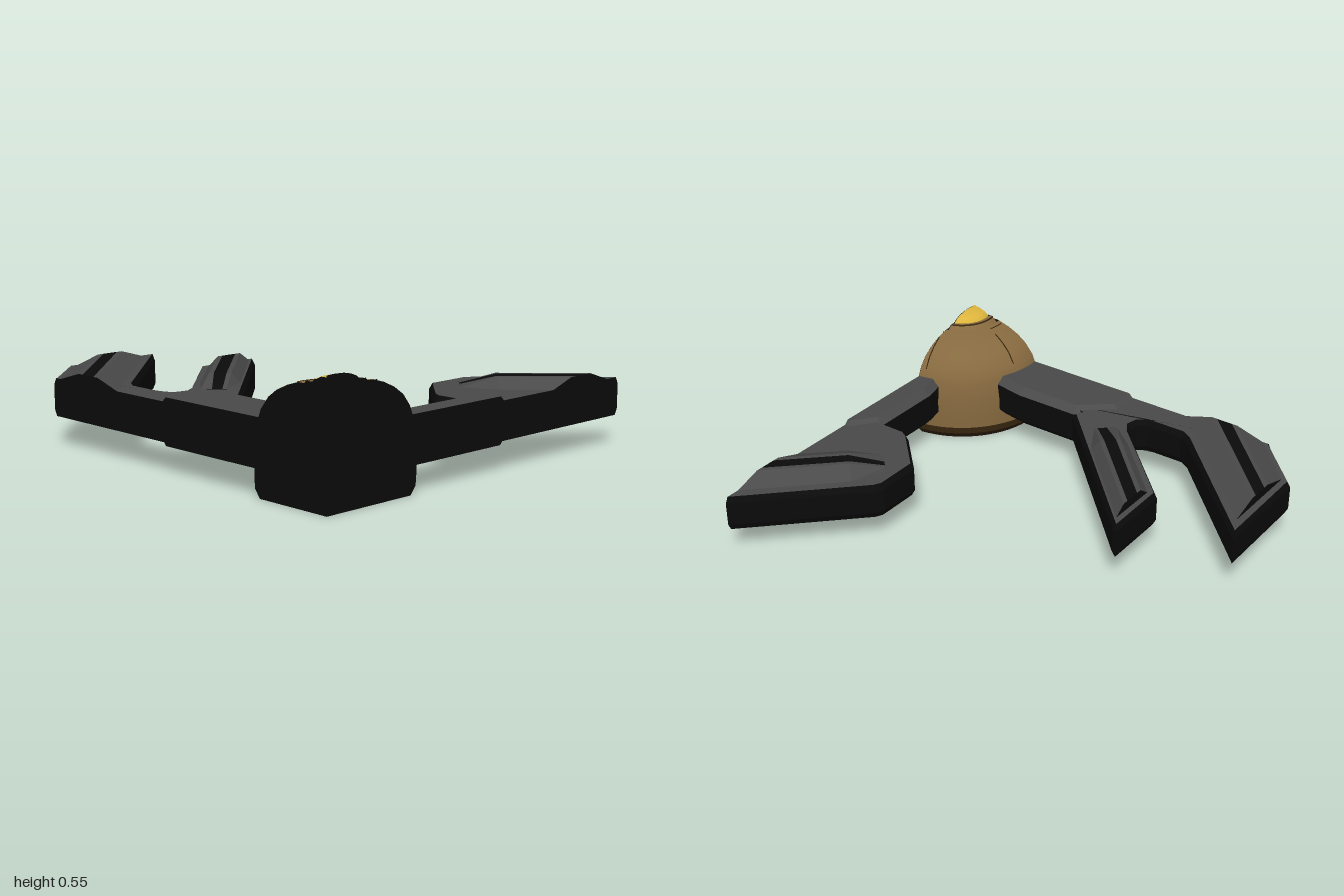
import * as THREE from 'three';

const XMAX = 1, ZMAX = 0.93; // flat section planes that end the model
const mat = (name, color) => {
  const m = new THREE.MeshStandardMaterial({ color, side: THREE.DoubleSide });
  m.name = name;
  return m;
};

export function createModel() {
  const grey = mat('dark grey', 0x4a4a4a);
  const black = mat('black', 0x0b0b0b);
  const brown = mat('bronze', 0x86693f);
  const rim = mat('dark bronze', 0x3a2810);
  const gold = mat('gold', 0xdcb43c);
  const root = new THREE.Group();
  root.name = 'model';

  // Flattens geometry against the section planes and splits its triangles by colour
  function addCut(name, source, pick, smooth) {
    const geo = source.index ? source.toNonIndexed() : source;
    const p = geo.attributes.position, n = geo.attributes.normal;
    const buckets = new Map();
    const v = [0, 1, 2].map(() => new THREE.Vector3());
    const e = new THREE.Vector3(), face = new THREE.Vector3();
    for (let i = 0; i < p.count; i += 3) {
      v.forEach((q, k) => {
        q.fromBufferAttribute(p, i + k);
        q.x = Math.min(q.x, XMAX);
        q.z = Math.min(q.z, ZMAX);
      });
      face.subVectors(v[1], v[0]).cross(e.subVectors(v[2], v[0]));
      if (face.length() < 1e-9) continue;
      face.normalize();
      const section = v.every(q => q.x > XMAX - 1e-5) || v.every(q => q.z > ZMAX - 1e-5);
      const m = section ? black : pick(face, (v[0].y + v[1].y + v[2].y) / 3);
      if (!buckets.has(m)) buckets.set(m, { pos: [], nor: [] });
      const b = buckets.get(m);
      v.forEach((q, k) => {
        b.pos.push(q.x, q.y, q.z);
        if (smooth && !section) b.nor.push(n.getX(i + k), n.getY(i + k), n.getZ(i + k));
        else b.nor.push(face.x, face.y, face.z);
      });
    }
    const group = new THREE.Group();
    group.name = name;
    for (const [m, b] of buckets) {
      const g = new THREE.BufferGeometry();
      g.setAttribute('position', new THREE.Float32BufferAttribute(b.pos, 3));
      g.setAttribute('normal', new THREE.Float32BufferAttribute(b.nor, 3));
      const mesh = new THREE.Mesh(g, m);
      mesh.name = `${name} ${m.name}`;
      group.add(mesh);
    }
    root.add(group);
  }

  // Bevelled slab from a plan outline in (x, z)
  function slab(name, outline, y0, y1, size, thick) {
    const shape = new THREE.Shape(outline.map(([x, z]) => new THREE.Vector2(x, -z)));
    const g = new THREE.ExtrudeGeometry(shape, {
      depth: y1 - y0 - 2 * thick, bevelEnabled: true, bevelSegments: 1,
      bevelSize: size, bevelThickness: thick, bevelOffset: -size,
    });
    g.rotateX(-Math.PI / 2).translate(0, y0 + thick, 0);
    addCut(name, g, f => (f.y > 0.5 ? grey : black));
  }

  // Raised ridge with a black strip on top; stations are [x, z, acrossX, acrossZ, height]
  function ridge(name, half, stations) {
    const offsets = [-half, -0.07, -0.04, 0.04, 0.07, half];
    const rows = stations.map(([x, z, dx, dz, h]) => offsets.map((o, i) =>
      [x + dx * o, 0.309 + (i === 0 || i === 5 ? 0 : h), z + dz * o]));
    const parts = { side: [], strip: [] };
    for (let s = 0; s + 1 < rows.length; s++) {
      const a = rows[s], b = rows[s + 1];
      for (let i = 0; i < 5; i++) {
        parts[i === 2 ? 'strip' : 'side'].push(a[i], b[i], a[i + 1], a[i + 1], b[i], b[i + 1]);
      }
    }
    for (const r of [rows[0], rows[rows.length - 1]]) {
      for (let i = 1; i < 5; i++) parts.strip.push(r[0], r[i], r[i + 1]);
    }
    for (const [key, m] of [['side', grey], ['strip', black]]) {
      let pts = parts[key];
      // Turn every triangle to face up
      for (let i = 0; i < pts.length; i += 3) {
        const [a, b, c] = pts.slice(i, i + 3);
        const ny = (b[2] - a[2]) * (c[0] - a[0]) - (b[0] - a[0]) * (c[2] - a[2]);
        if (ny < 0) [pts[i + 1], pts[i + 2]] = [c, b];
      }
      const g = new THREE.BufferGeometry();
      g.setAttribute('position', new THREE.Float32BufferAttribute(pts.flat(), 3));
      g.computeVertexNormals();
      const mesh = new THREE.Mesh(g, m);
      mesh.name = `${name} ${key}`;
      root.add(mesh);
    }
  }

  // Forked arm with its two diagonal blades
  slab('forkedArm', [
    [0.3, 0.66], [0.15, 0.66], [0.17, 0.63], [-0.53, -0.08], [-0.555, -0.09], [-0.555, 0.25],
    [-0.15, 0.65], [-0.12, 0.7], [-0.13, 0.75], [-0.17, 0.78], [-0.36, 0.78], [-0.41, 0.75],
    [-0.97, 0.19], [-1, 0.17], [-1, 0.69], [-0.77, 0.93], [-0.77, 1.05], [0.3, 1.05],
  ], 0.135, 0.31, 0.015, 0.03);
  ridge('outerBladeRidge', 0.215, [[-0.955, 0.475, 0, -1, 0.043], [-0.51, 0.93, 1, 0, 0.043]]);
  ridge('innerBladeRidge', 0.13, [
    [-0.515, 0.1, 0, -1, 0.043], [-0.16, 0.46, 0.5, -0.5, 0.043], [-0.03, 0.59, 0.4, -0.4, 0.003],
  ]);

  // Single wing at the back
  slab('backWing', [
    [1.1, -0.93], [1, -0.93], [0.52, -0.46], [0.5, -0.42], [0.5, -0.2],
    [0.69, -0.01], [0.73, 0.01], [1.1, 0.01],
  ], 0.135, 0.31, 0.015, 0.03);
  ridge('backWingRidge', 0.2, [
    [1, -0.65, 0, -1, 0.043], [0.73, -0.39, -0.5, -0.5, 0.043], [0.61, -0.28, -0.3, -0.3, 0.003],
  ]);

  // Struts joining the arms to the hub
  slab('sideStrut', [
    [0, 1.05], [0, 0.78], [0.17, 0.64], [0.5, 0.64], [0.64, 0.665], [0.8, 0.7], [0.8, 1.05],
  ], 0.12, 0.33, 0.035, 0.035);
  slab('backStrut', [
    [1.1, -0.13], [0.97, -0.13], [0.865, 0], [0.865, 0.37], [0.89, 0.48], [0.92, 0.6], [1.1, 0.6],
  ], 0.12, 0.33, 0.035, 0.035);

  // Domed hub, ring and central lens
  const CX = 1.05, CZ = 0.89;
  const lathe = pts => new THREE.LatheGeometry(pts.map(([r, y]) => new THREE.Vector2(r, y)), 128)
    .translate(CX, 0, CZ);
  const dome = [[0.462, 0.13], [0.458, 0.22], [0.445, 0.31], [0.42, 0.37], [0.38, 0.42],
    [0.33, 0.455], [0.27, 0.482], [0.21, 0.5]];
  addCut('hubBase', lathe([[0, 0], [0.43, 0], [0.458, 0.035], [0.462, 0.07]]), () => rim);
  addCut('hubDome', lathe([[0.462, 0.07], ...dome]), () => brown, true);
  addCut('hubCollar', lathe([[0.21, 0.5], [0.195, 0.485], [0.17, 0.508], [0.145, 0.508]]), () => brown);
  addCut('lensRing', lathe([[0.172, 0.506], [0.17, 0.511], [0.164, 0.511]]), () => rim);
  addCut('hubLens', lathe([[0.145, 0.49], [0.14, 0.51], [0.12, 0.525], [0.09, 0.537],
    [0.05, 0.545], [0, 0.547]]), () => gold, true);

  // Fine panel seams: one radial line and one arc on each flank
  const at = (a, r, y) => new THREE.Vector3(CX + r * Math.cos(a), y, CZ + r * Math.sin(a));
  const seam = pts => addCut('panelSeam',
    new THREE.TubeGeometry(new THREE.CatmullRomCurve3(pts), 24, 0.003, 5), () => rim, true);
  for (const [a, b] of [[3.4, 3.04], [4.52, 4.8]]) {
    seam(dome.slice(3, 7).map(([r, y]) => at(a, r, y)));
    seam([0, 0.33, 0.67, 1].map(t => at(a + (b - a) * t, 0.23, 0.495)));
  }
  return root;
}
